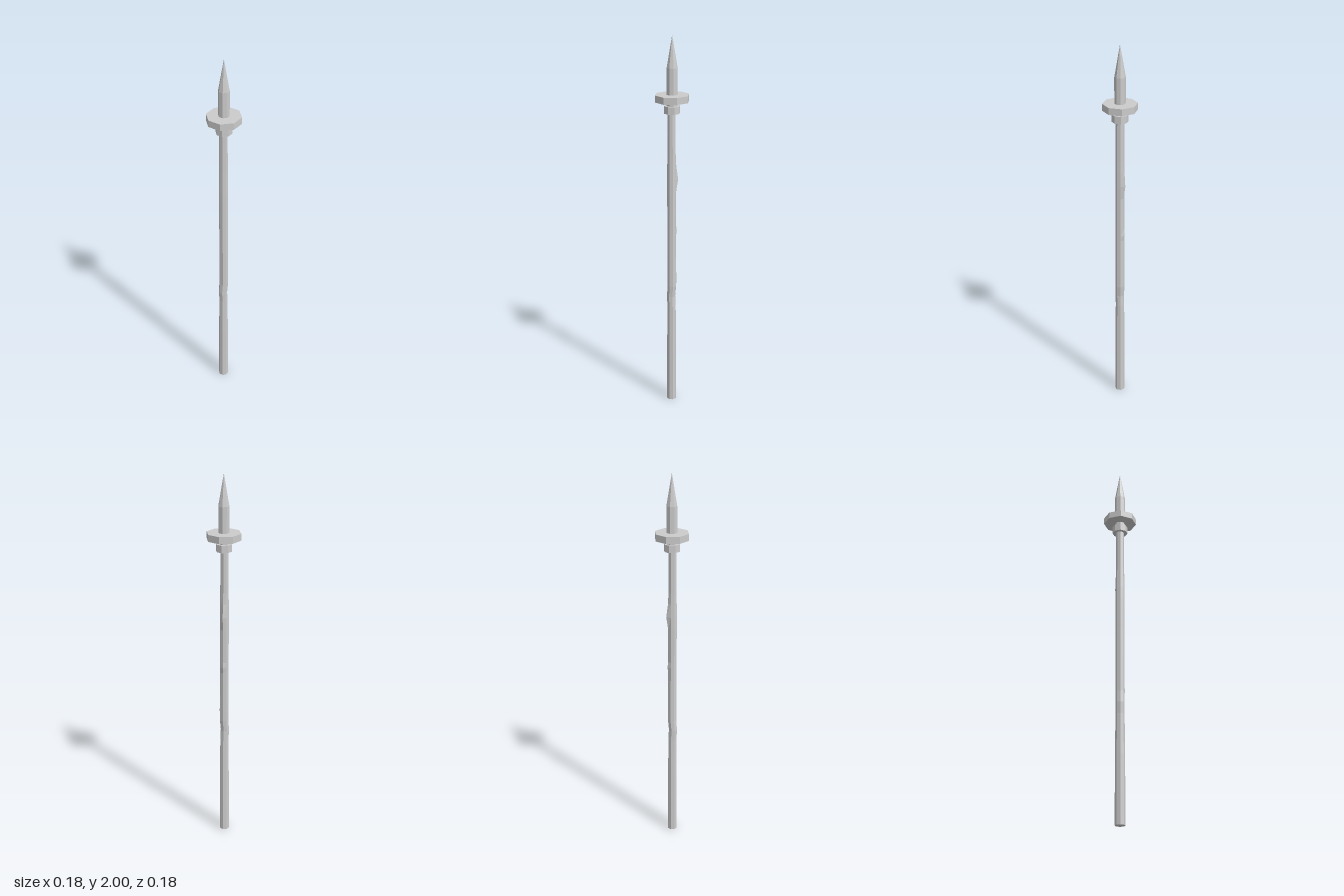
import * as THREE from 'three';

const SIDES = 8;

export function createModel() {
  const model = new THREE.Group();
  const material = new THREE.MeshStandardMaterial({ color: 0xcccccc, flatShading: true });

  function add(name, geometry, y = 0) {
    const mesh = new THREE.Mesh(geometry, material);
    mesh.name = name;
    mesh.position.y = y;
    model.add(mesh);
  }

  const drum = (radius, y0, y1) =>
    [new THREE.CylinderGeometry(radius, radius, y1 - y0, SIDES), (y0 + y1) / 2];

  // Rough wooden shaft: rings of [height, radius, x offset, knot on the back left edge]
  const rings = [
    [0, 0.026, -0.003, 0], [0.35, 0.025, -0.003, 0], [0.56, 0.023, -0.003, 0],
    [0.62, 0.023, -0.006, 0], [0.68, 0.024, -0.001, 0], [0.74, 0.024, -0.001, 0],
    [0.96, 0.023, -0.002, 0], [0.99, 0.023, -0.002, 0.005], [1.02, 0.023, -0.002, 0],
    [1.2, 0.024, -0.003, 0], [1.27, 0.024, -0.003, 0.011], [1.34, 0.023, -0.003, 0.002],
    [1.4, 0.022, -0.003, 0], [1.63, 0.021, -0.003, 0],
  ];
  const last = rings.length - 1;
  const shaft = new THREE.CylinderGeometry(1, 1, last, SIDES, last);
  const pos = shaft.attributes.position;
  for (let i = 0; i < pos.count; i++) {
    const [y, radius, offset, knot] = rings[Math.round(pos.getY(i) + last / 2)];
    const x = pos.getX(i), z = pos.getZ(i);
    const r = radius + (x > 0.5 && x < 0.9 && z < -0.5 ? knot : 0);
    pos.setXYZ(i, x * r + offset, y, z * r);
  }
  shaft.computeVertexNormals();
  add('shaft', shaft);

  // Collar and wide guard disc
  add('collar', ...drum(0.041, 1.614, 1.652));
  add('guard', ...drum(0.088, 1.673, 1.708));

  // Spike: straight socket running through the guard, then a point
  add('spikeBase', ...drum(0.028, 1.64, 1.84));
  add('spikeTip', new THREE.ConeGeometry(0.028, 0.16, SIDES, 1, true), 1.92);

  return model;
}
